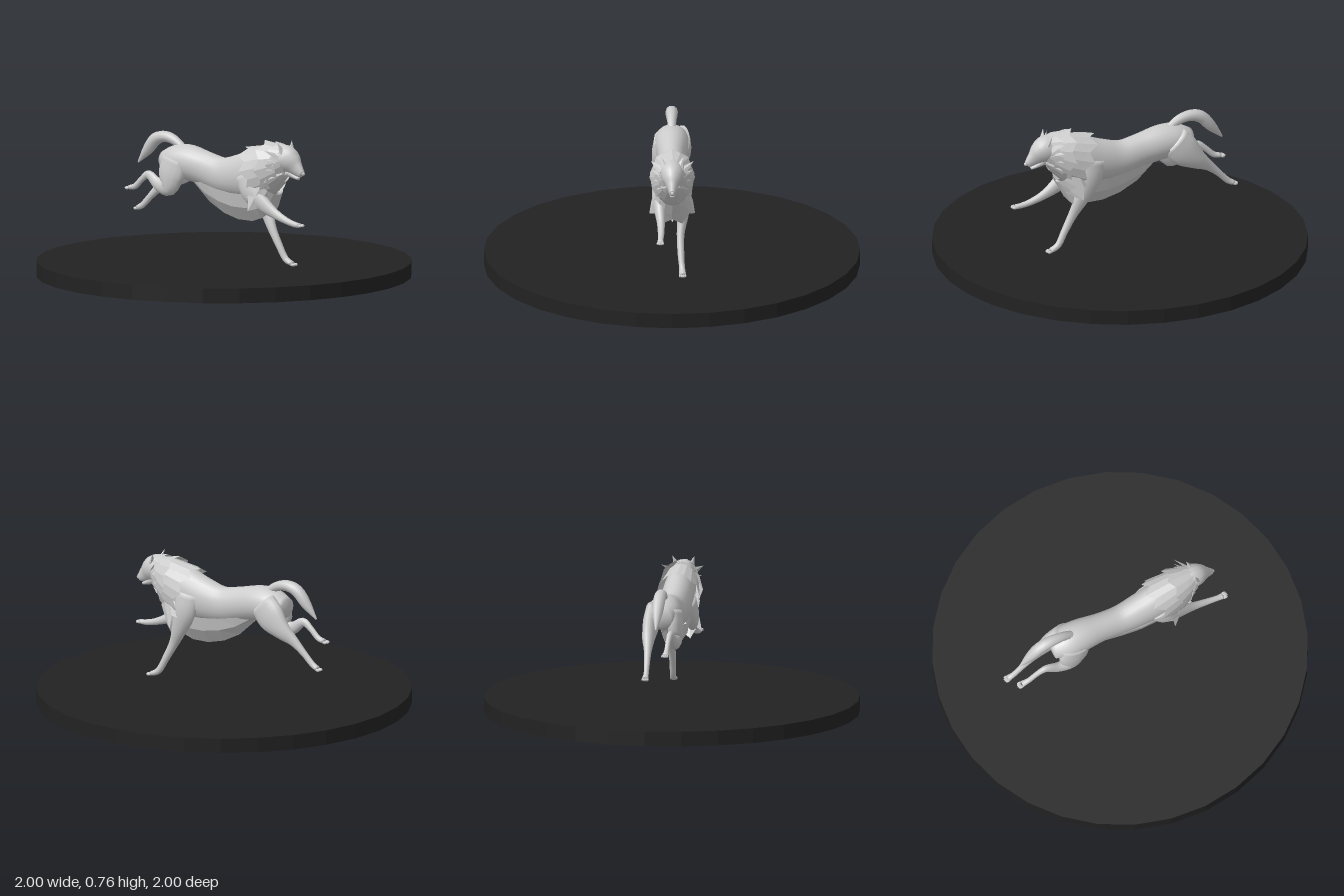
import * as THREE from 'three';

const V = (x, y, z) => new THREE.Vector3(x, y, z);
const fur = new THREE.MeshStandardMaterial({ color: 0xcccccc, side: THREE.DoubleSide });
const tufts = new THREE.MeshStandardMaterial({ color: 0xcccccc, side: THREE.DoubleSide, flatShading: true });
const dark = new THREE.MeshStandardMaterial({ color: 0x222222, flatShading: true });

function add(parent, name, geometry, material) {
  const mesh = new THREE.Mesh(geometry, material);
  mesh.name = name;
  parent.add(mesh);
  return mesh;
}

// Grid surface from rows of points; closed rows wrap around.
function sheet(rows, closed) {
  const n = rows[0].length, index = [];
  for (let i = 0; i < rows.length - 1; i++) {
    for (let j = 0; j < (closed ? n : n - 1); j++) {
      const a = i * n + j, b = i * n + (j + 1) % n;
      index.push(a, b, a + n, b, b + n, a + n);
    }
  }
  const geo = new THREE.BufferGeometry().setFromPoints(rows.flat());
  geo.setIndex(index);
  geo.computeVertexNormals();
  return geo;
}

// Smooth tapering limb through sections [x, y, z, halfWidth, halfDepth].
function limb(sections, sides = 14, steps = 4) {
  const path = new THREE.CatmullRomCurve3(sections.map(s => V(s[0], s[1], s[2])), false, 'catmullrom');
  const size = new THREE.CatmullRomCurve3(sections.map(s => V(s[3], s[4], 0)), false, 'catmullrom');
  const count = (sections.length - 1) * steps, rows = [];
  const ring = (t, k) => {
    const c = path.getPoint(t), r = size.getPoint(t), T = path.getTangent(t);
    const S = V(1, 0, 0).addScaledVector(T, -T.x).normalize();
    const U = T.clone().cross(S);
    return Array.from({ length: sides }, (_, j) => {
      const a = j / sides * Math.PI * 2;
      return c.clone().addScaledVector(S, Math.cos(a) * r.x * k).addScaledVector(U, Math.sin(a) * r.y * k);
    });
  };
  rows.push(ring(0, 0.01));
  for (let i = 0; i <= count; i++) rows.push(ring(i / count, 1));
  rows.push(ring(1, 0.01));
  return sheet(rows, true);
}

// Shaggy collar: tight front ring, flared back ring with jagged tips.
// Rings are [topZ, topY, bottomZ, bottomY, halfWidth].
function ruff(front, back, teeth, jag) {
  const n = teeth * 2;
  const row = (t, spike) => Array.from({ length: n }, (_, j) => {
    const [tz, ty, bz, by, w] = front.map((v, k) => THREE.MathUtils.lerp(v, back[k], t + (j % 2 ? -spike : 0)));
    const a = j / n * Math.PI * 2, c = Math.cos(a);
    return V(Math.sin(a) * w, (ty + by) / 2 + c * (ty - by) / 2, (tz + bz) / 2 + c * (tz - bz) / 2);
  });
  return sheet([row(0, 0), row(0.45, 0), row(1, jag)], true);
}

// Four toes with claws fanned across the end of a foot.
function toes(parent, x, y, z, dir) {
  for (let i = -1.5; i <= 1.5; i++) {
    const reach = 0.004 * (1.5 - Math.abs(i));
    const toe = add(parent, 'toe', new THREE.SphereGeometry(0.009, 8, 6), fur);
    toe.position.set(x + i * 0.009, y, z + dir * reach);
    toe.scale.set(0.75, 0.9, 1.6);
    const claw = add(parent, 'claw', new THREE.ConeGeometry(0.003, 0.014, 5), dark);
    claw.position.set(x + i * 0.009, y - 0.003, z + dir * (reach + 0.013));
    claw.rotation.x = dir * 1.8;
  }
}

export function createModel() {
  const model = new THREE.Group();

  // Round base
  const base = add(model, 'base', new THREE.CylinderGeometry(1, 1, 0.08, 32), dark);
  base.position.y = 0.04;

  const wolf = new THREE.Group();
  wolf.name = 'wolf';
  model.add(wolf);

  // Torso from neck to rump
  add(wolf, 'torso', limb([
    [0, 0.655, 0.42, 0.055, 0.075],
    [0, 0.62, 0.34, 0.078, 0.115],
    [0, 0.57, 0.24, 0.088, 0.135],
    [0, 0.545, 0.12, 0.082, 0.117],
    [0, 0.535, 0.0, 0.073, 0.098],
    [0, 0.56, -0.12, 0.074, 0.092],
    [0, 0.583, -0.24, 0.088, 0.095],
    [0, 0.585, -0.33, 0.088, 0.085],
    [0, 0.58, -0.41, 0.055, 0.052],
  ], 20), fur);

  // Head with sloping muzzle
  const head = new THREE.Group();
  head.name = 'head';
  wolf.add(head);
  add(head, 'skull', limb([
    [0, 0.665, 0.38, 0.055, 0.07],
    [0, 0.668, 0.43, 0.064, 0.074],
    [0, 0.65, 0.468, 0.054, 0.064],
    [0, 0.625, 0.502, 0.032, 0.044],
    [0, 0.607, 0.526, 0.022, 0.031],
    [0, 0.594, 0.545, 0.015, 0.02],
  ], 14), fur);
  add(head, 'jaw', limb([
    [0, 0.60, 0.45, 0.03, 0.026],
    [0, 0.578, 0.495, 0.018, 0.013],
    [0, 0.568, 0.522, 0.011, 0.008],
  ], 10), fur);
  const nose = add(head, 'nose', new THREE.SphereGeometry(0.011, 8, 6), fur);
  nose.position.set(0, 0.598, 0.551);
  for (const s of [-1, 1]) {
    const ear = add(head, 'ear', new THREE.ConeGeometry(0.024, 0.065, 6), tufts);
    ear.position.set(s * 0.048, 0.73, 0.432);
    ear.scale.z = 0.55;
    ear.rotation.set(-0.3, 0, -s * 0.35);
    const eye = add(head, 'eye', new THREE.SphereGeometry(0.006, 8, 6), dark);
    eye.position.set(s * 0.034, 0.656, 0.495);
    // Cheek tufts swept back and out
    for (let i = 0; i < 4; i++) {
      const tuft = add(head, 'cheekTuft', new THREE.ConeGeometry(0.022, 0.085, 4), tufts);
      tuft.scale.z = 0.35;
      tuft.position.set(s * (0.085 - i * 0.008), 0.70 - i * 0.04, 0.40);
      tuft.quaternion.setFromUnitVectors(V(0, 1, 0), V(s * 0.7, 0.45 - i * 0.35, -0.6).normalize());
    }
  }

  // Layered mane and chest bib
  add(wolf, 'cheekRuff', ruff([0.455, 0.735, 0.45, 0.595, 0.05], [0.36, 0.755, 0.375, 0.52, 0.10], 8, 0.3), tufts);
  add(wolf, 'neckRuff', ruff([0.40, 0.735, 0.42, 0.54, 0.075], [0.285, 0.755, 0.325, 0.45, 0.122], 8, 0.25), tufts);
  add(wolf, 'shoulderRuff', ruff([0.33, 0.735, 0.38, 0.48, 0.095], [0.15, 0.705, 0.27, 0.42, 0.12], 9, 0.25), tufts);
  add(wolf, 'chestBib', ruff([0.24, 0.60, 0.385, 0.47, 0.085], [0.21, 0.47, 0.305, 0.33, 0.125], 7, 0.3), tufts);

  // Hanging belly fur, sections [z, topY, bottomY, halfWidth]
  const fringe = [[0.27, 0.47, 0.335, 0.06], [0.2, 0.46, 0.31, 0.07], [0.1, 0.46, 0.31, 0.07],
    [0, 0.47, 0.335, 0.062], [-0.1, 0.49, 0.385, 0.055], [-0.2, 0.52, 0.475, 0.04]];
  add(wolf, 'bellyFur', sheet(fringe.map(([z, t, b, w]) => [
    V(-w, t, z), V(-w * 0.75, (t + b) / 2, z), V(0, b, z), V(w * 0.75, (t + b) / 2, z), V(w, t, z),
  ])), tufts);

  // Legs caught in mid gallop
  add(wolf, 'leftFrontLeg', limb([
    [0.06, 0.58, 0.19, 0.035, 0.075],
    [0.065, 0.48, 0.205, 0.04, 0.068],
    [0.058, 0.37, 0.25, 0.03, 0.044],
    [0.045, 0.28, 0.295, 0.021, 0.027],
    [0.046, 0.19, 0.345, 0.018, 0.02],
    [0.052, 0.12, 0.385, 0.016, 0.018],
    [0.055, 0.096, 0.43, 0.019, 0.013],
  ]), fur);
  toes(wolf, 0.055, 0.093, 0.441, 1);

  add(wolf, 'rightFrontLeg', limb([
    [-0.06, 0.57, 0.21, 0.035, 0.075],
    [-0.068, 0.48, 0.25, 0.04, 0.065],
    [-0.065, 0.42, 0.33, 0.03, 0.045],
    [-0.06, 0.375, 0.41, 0.021, 0.027],
    [-0.06, 0.345, 0.49, 0.017, 0.018],
    [-0.063, 0.332, 0.55, 0.015, 0.015],
    [-0.064, 0.331, 0.58, 0.018, 0.012],
  ]), fur);
  toes(wolf, -0.064, 0.33, 0.59, 1);

  add(wolf, 'leftHindLeg', limb([
    [0.055, 0.60, -0.29, 0.04, 0.085],
    [0.062, 0.535, -0.35, 0.042, 0.088],
    [0.065, 0.475, -0.42, 0.034, 0.055],
    [0.058, 0.425, -0.49, 0.022, 0.03],
    [0.053, 0.37, -0.55, 0.016, 0.019],
    [0.05, 0.315, -0.605, 0.014, 0.017],
    [0.05, 0.295, -0.64, 0.018, 0.014],
  ]), fur);
  toes(wolf, 0.05, 0.291, -0.648, -1);

  add(wolf, 'rightHindLeg', limb([
    [-0.055, 0.60, -0.29, 0.04, 0.085],
    [-0.064, 0.52, -0.31, 0.042, 0.085],
    [-0.068, 0.45, -0.33, 0.034, 0.052],
    [-0.066, 0.455, -0.40, 0.025, 0.035],
    [-0.06, 0.50, -0.47, 0.018, 0.024],
    [-0.056, 0.475, -0.52, 0.014, 0.017],
    [-0.054, 0.43, -0.57, 0.014, 0.016],
    [-0.053, 0.418, -0.61, 0.018, 0.013],
  ]), fur);
  toes(wolf, -0.053, 0.415, -0.622, -1);

  // Arched bushy tail
  add(wolf, 'tail', limb([
    [0, 0.645, -0.27, 0.02, 0.02],
    [0, 0.69, -0.34, 0.025, 0.026],
    [0, 0.705, -0.41, 0.031, 0.03],
    [0, 0.685, -0.475, 0.033, 0.034],
    [0, 0.625, -0.53, 0.027, 0.03],
    [0, 0.55, -0.597, 0.004, 0.005],
  ], 10, 3), fur);

  return model;
}
